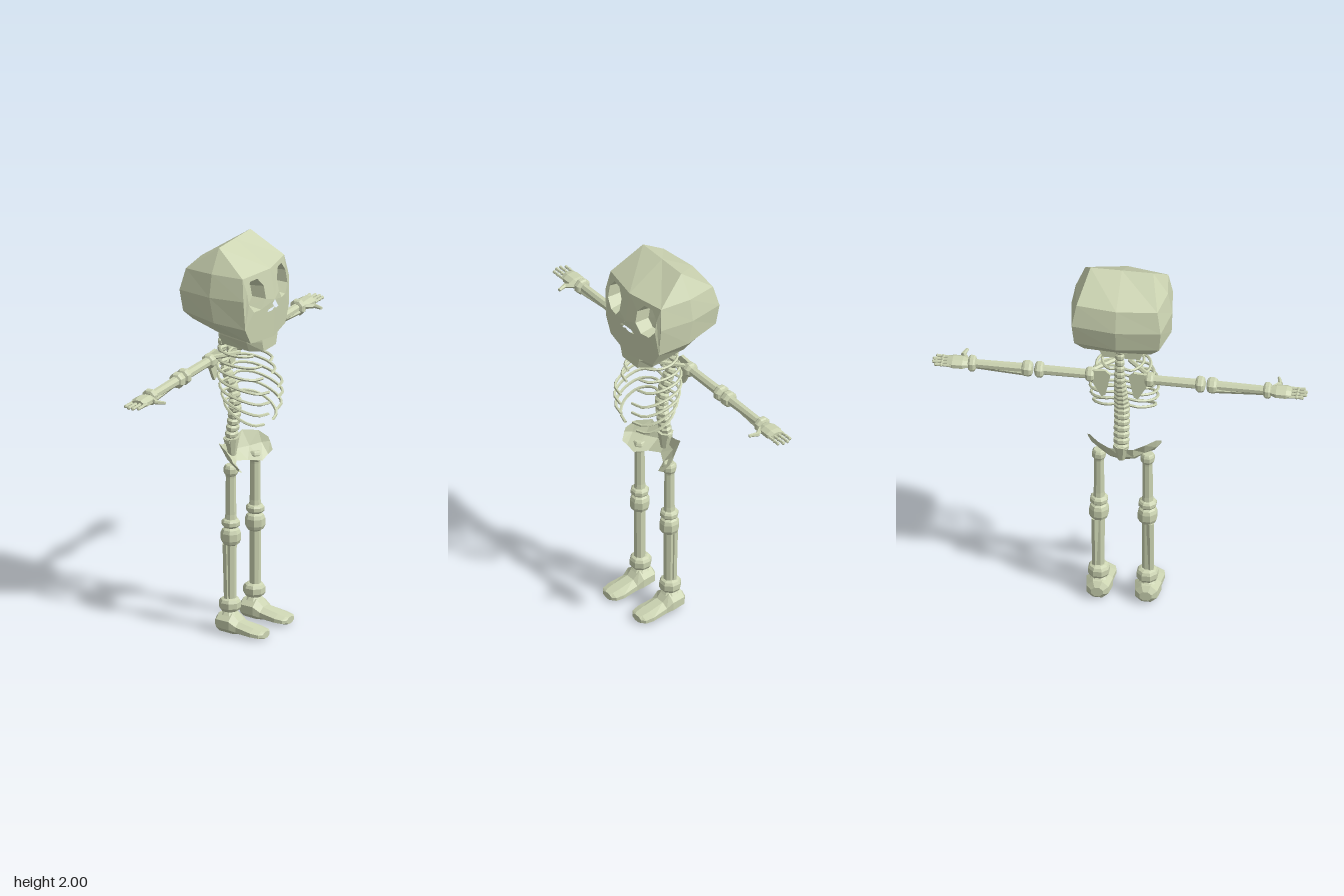
import * as THREE from 'three';

const bone = new THREE.MeshStandardMaterial({ color: 0xccd4b2, flatShading: true });
const thin = new THREE.MeshStandardMaterial({ color: 0xccd4b2, flatShading: true, side: THREE.DoubleSide });
const V = (x, y, z) => new THREE.Vector3(x, y, z);

function add(parent, name, geometry, material = bone) {
  const mesh = new THREE.Mesh(geometry, material);
  mesh.name = name;
  parent.add(mesh);
  return mesh;
}

// Skin a stack of cross-sections (arrays of Vector3)
function loft(rings, closed = true) {
  const pos = [];
  const tri = (...p) => p.forEach((v) => pos.push(v.x, v.y, v.z));
  for (let i = 0; i < rings.length - 1; i++) {
    const n = rings[i].length;
    for (let j = 0; j < (closed ? n : n - 1); j++) {
      const k = (j + 1) % n;
      const [a, b, c, d] = [rings[i][j], rings[i][k], rings[i + 1][k], rings[i + 1][j]];
      if (!c.equals(d)) tri(a, d, c);
      if (!a.equals(b)) tri(a, c, b);
    }
  }
  const g = new THREE.BufferGeometry();
  g.setAttribute('position', new THREE.Float32BufferAttribute(pos, 3));
  g.computeVertexNormals();
  return g;
}

// Turned bone: profile of [radius, distance] pairs, starting at a point along a direction
function turned(parent, name, profile, from, dir, sides = 8) {
  const g = new THREE.LatheGeometry(profile.map(([r, d]) => new THREE.Vector2(r, d)), sides, Math.PI / sides);
  const mesh = add(parent, name, g);
  mesh.position.copy(from);
  mesh.quaternion.setFromUnitVectors(V(0, 1, 0), dir.clone().normalize());
  return mesh;
}

function rod(parent, name, a, b, r0, r1 = r0, sides = 6) {
  const d = b.clone().sub(a);
  return turned(parent, name, [[0, 0], [r0, 0], [r1, d.length()], [0, d.length()]], a, d, sides);
}

const knob = (r, a, b, inner) => [[inner, a], [r * 0.85, a + (b - a) * 0.1], [r, a + (b - a) * 0.3],
  [r, b - (b - a) * 0.3], [r * 0.85, b - (b - a) * 0.1], [inner, b]];

// Faceted face plane, furthest forward at the cheeks
function faceX(y, z) {
  const mid = y > 1.73 ? 0.207 - (y - 1.73) * 0.18 : 0.207 - (1.73 - y) * 0.04;
  return mid - 0.19 * Math.abs(z);
}

function buildSkull() {
  const skull = new THREE.Group();
  skull.name = 'skull';
  const edge = [[1.54, 0.17], [1.62, 0.215], [1.77, 0.225], [1.88, 0.205]];
  // Side, back corner and back centre of each level
  const levels = [
    [[0, 1.58, 0.2], [-0.16, 1.61, 0.165], [-0.17, 1.61, 0]],
    [[0, 1.64, 0.243], [-0.19, 1.66, 0.21], [-0.22, 1.66, 0]],
    [[-0.02, 1.77, 0.25], [-0.205, 1.77, 0.22], [-0.235, 1.77, 0]],
    [[-0.02, 1.885, 0.228], [-0.18, 1.88, 0.2], [-0.205, 1.88, 0]],
  ];
  const mirror = (half) => [...half, ...half.slice(0, -1).reverse().map((p) => V(p.x, p.y, -p.z))];
  const rings = levels.map((level, i) => {
    const [y, z] = edge[i];
    return mirror([V(faceX(y, z), y, z), ...level.map((p) => V(...p))]);
  });
  const floor = rings[0].map(() => V(0, 1.575, 0));
  add(skull, 'cranium', loft([floor, ...rings], false));
  add(skull, 'palate', loft([floor.slice(0, 2), [rings[0][6], rings[0][0]]], false), thin);
  // Roof rising to a cross ridge
  const top = (z) => V(-0.02, 2, z);
  const rim = [...rings[3], V(faceX(1.88, 0), 1.88, 0)];
  add(skull, 'crown', loft([rim, [0.155, 0.155, 0.155, 0, -0.155, -0.155, -0.155, 0].map(top)]));

  for (const s of [1, -1]) {
    // Half of the face, with an eye hole and half of the nose notch
    const outline = [[0, 1.53], ...edge.map(([y, z]) => [z, y]), [0, 1.88], [0, 1.725], [0.055, 1.672], [0.02, 1.672], [0, 1.685]];
    const shape = new THREE.Shape(outline.map((p) => new THREE.Vector2(...p)));
    const ring = (k) => Array.from({ length: 8 }, (_, i) => {
      const t = ((i + 0.5) / 8) * Math.PI * 2;
      return new THREE.Vector2(0.127 + 0.068 * k * Math.cos(t), 1.777 + 0.085 * k * Math.sin(t));
    });
    shape.holes.push(new THREE.Path(ring(1)));
    const g = new THREE.ShapeGeometry(shape);
    const p = g.attributes.position;
    for (let i = 0; i < p.count; i++) {
      const z = p.getX(i), y = p.getY(i);
      p.setXYZ(i, faceX(y, z), y, z * s);
    }
    g.computeVertexNormals();
    add(skull, 'faceHalf', g, thin);
    // Recessed eye socket
    const at = (k, depth) => ring(k).map((q) => V(faceX(q.y, q.x) - depth, q.y, q.x * s));
    add(skull, 'eyeSocket', loft([at(1, 0), at(0.85, 0.07), at(0, 0.075)]), thin);
  }
  // Back of the nose opening
  add(skull, 'noseCavity', loft([[V(0.165, 1.66, 0.065), V(0.165, 1.66, -0.065)], [V(0.165, 1.735, 0.01), V(0.165, 1.735, -0.01)]], false), thin);
  // Jaw
  const jawRing = (y, k, drop) => [[0.178, 0.075], [0.12, 0.13], [-0.04, 0.115], [-0.04, -0.115], [0.12, -0.13], [0.178, -0.075]]
    .map(([x, z]) => V(x, y - drop * (x + 0.04), z * k));
  const low = jawRing(1.48, 0.8, 0.06);
  add(skull, 'jaw', loft([low.map(() => V(0.05, 1.475, 0)), low, jawRing(1.535, 1, 0.08), jawRing(1.59, 1.02, 0.2)]));
  return skull;
}

function buildTorso() {
  const torso = new THREE.Group();
  torso.name = 'torso';
  const spine = new THREE.CatmullRomCurve3([V(-0.08, 1.61, 0), V(-0.088, 1.5, 0), V(-0.088, 1.38, 0), V(-0.05, 1.27, 0),
    V(-0.018, 1.17, 0), V(-0.022, 1.08, 0), V(-0.045, 0.93, 0)]);
  const count = 20;
  for (let i = 0; i < count; i++) {
    const a = spine.getPointAt(i / count), d = spine.getTangentAt((i + 0.5) / count);
    const r = 0.02 + 0.021 * Math.min(1, i / 13), h = spine.getLength() / count;
    const v = turned(torso, 'vertebra', [[0, 0], [r * 0.7, 0], [r, h * 0.25], [r, h * 0.7], [r * 0.7, h], [0, h]], a, d, 8);
    v.scale.set(0.75, 1, 1);
  }
  // Ribs: back height, front height, front reach, half width
  const ribs = [[1.435, 1.425, 0.11, 0.1], [1.4, 1.38, 0.155, 0.13], [1.365, 1.32, 0.165, 0.145], [1.325, 1.255, 0.2, 0.158],
    [1.28, 1.2, 0.2, 0.163], [1.235, 1.14, 0.195, 0.16], [1.19, 1.08, 0.17, 0.15]];
  for (const s of [1, -1]) {
    for (const [y0, y1, reach, w] of ribs) {
      const x0 = -0.06 + Math.max(0, 1.36 - y0) * 0.25;
      const y = (t) => y0 + (y1 - y0) * t;
      const path = new THREE.CatmullRomCurve3([V(x0, y0, 0.015 * s), V(x0 - 0.01, y(0.05), w * 0.55 * s), V(x0 + 0.04, y(0.25), w * 0.95 * s),
        V((x0 + reach) / 2 + 0.02, y(0.6), w * s), V(reach - 0.02, y(0.9), w * 0.75 * s), V(reach, y(1), 0.045 * s)]);
      add(torso, 'rib', new THREE.TubeGeometry(path, 14, 0.0075, 5), thin);
    }
    rod(torso, 'collarbone', V(0.03, 1.425, 0.03 * s), V(-0.08, 1.415, 0.15 * s), 0.012);
    // Shoulder blade
    const blade = new THREE.Shape([[0.045, 1.41], [0.07, 1.29], [0.09, 1.28], [0.15, 1.39], [0.14, 1.43], [0.07, 1.435]]
      .map(([z, y]) => new THREE.Vector2(z * s, y)));
    const g = new THREE.ExtrudeGeometry(blade, { depth: 0.015, bevelEnabled: false });
    g.rotateY(-Math.PI / 2);
    add(torso, 'shoulderBlade', g).position.x = -0.08;
  }
  // Pelvis: curved sheet, columns of upper, middle and lower edge from centre outwards
  const half = [
    [[-0.055, 0.935, 0], [-0.05, 0.89, 0], [-0.01, 0.845, 0]],
    [[-0.055, 0.94, 0.06], [-0.04, 0.885, 0.06], [0.02, 0.835, 0.06]],
    [[-0.045, 0.965, 0.115], [0, 0.89, 0.11], [0.08, 0.83, 0.1]],
    [[0.02, 0.957, 0.165], [0.04, 0.9, 0.16], [0.085, 0.85, 0.145]],
    [[0.065, 0.925, 0.183], [0.075, 0.905, 0.182], [0.1, 0.87, 0.165]],
  ].map((c) => c.map((p) => V(...p)));
  const other = half.slice(1).reverse().map((c) => c.map((p) => V(p.x, p.y, -p.z)));
  add(torso, 'pelvis', loft([...other, ...half], false), thin);
  rod(torso, 'sacrum', V(-0.04, 0.96, 0), V(-0.035, 0.87, 0), 0.04, 0.02, 8);
  return torso;
}

function buildArm(s) {
  const arm = new THREE.Group();
  arm.name = s < 0 ? 'leftArm' : 'rightArm';
  const X = -0.08, Y = 1.398, out = V(0, 0, s);
  const at = (z, x = X, y = Y) => V(x, y, z * s);
  turned(arm, 'upperArm', [[0, 0], ...knob(0.038, 0, 0.045, 0.024), [0.025, 0.23], ...knob(0.042, 0.25, 0.295, 0.025), [0, 0.3]], at(0.125), out);
  turned(arm, 'elbow', [[0, 0], ...knob(0.041, 0, 0.055, 0.022), [0, 0.055]], at(0.43), out);
  rod(arm, 'forearmBone', at(0.47), at(0.72), 0.025, 0.022, 8);
  rod(arm, 'forearmBone', at(0.47, X - 0.012, Y - 0.015), at(0.72, X + 0.01, Y - 0.018), 0.018, 0.016);
  turned(arm, 'wrist', [[0, 0], ...knob(0.042, 0, 0.04, 0.024), [0, 0.04]], at(0.71), out);
  // Palm, then fingers and thumb
  const palm = turned(arm, 'palm', [[0, 0], [0.03, 0], [0.046, 0.035], [0.047, 0.085], [0.035, 0.11], [0, 0.11]], at(0.74), out);
  palm.scale.set(1, 1, 0.55);
  for (let i = 0; i < 4; i++) {
    const x = X - 0.036 + i * 0.024, tip = i === 0 || i === 3 ? 0.915 : 0.928;
    turned(arm, 'finger', [[0, 0], [0.009, 0], [0.007, 0.04], [0.01, 0.048], [0.007, 0.056], [0.009, tip - 0.835], [0, tip - 0.83]], at(0.83, x), out, 6);
  }
  rod(arm, 'thumb', at(0.755, X + 0.025), at(0.785, X + 0.07), 0.014, 0.01);
  rod(arm, 'thumbTip', at(0.785, X + 0.06), at(0.77, X + 0.11), 0.012, 0.008);
  return arm;
}

function buildLeg(s) {
  const leg = new THREE.Group();
  leg.name = s < 0 ? 'leftLeg' : 'rightLeg';
  const Z = 0.12 * s, X = 0.027, up = V(0, 1, 0);
  turned(leg, 'thigh', [[0, 0], ...knob(0.046, 0, 0.045, 0.03), [0.027, 0.07], [0.025, 0.26], ...knob(0.036, 0.27, 0.325, 0.026), [0, 0.325]], V(X, 0.545, Z), up);
  turned(leg, 'knee', [[0, 0], ...knob(0.05, 0, 0.09, 0.03), [0, 0.09]], V(X, 0.455, Z), up);
  rod(leg, 'shinBone', V(X, 0.17, Z), V(X, 0.47, Z), 0.028, 0.029, 8);
  rod(leg, 'shinBone', V(X - 0.012, 0.17, Z + 0.016 * s), V(X - 0.018, 0.46, Z + 0.016 * s), 0.018, 0.02);
  turned(leg, 'ankle', [[0, 0], [0.045, 0], ...knob(0.055, 0.015, 0.085, 0.032), [0, 0.085]], V(X - 0.005, 0.095, Z), up);
  // Foot: centre height, half height and half width along its length
  const sections = [[-0.045, 0.05, 0, 0], [-0.045, 0.05, 0.025, 0.03], [-0.025, 0.053, 0.048, 0.055], [0.05, 0.053, 0.052, 0.066],
    [0.085, 0.037, 0.032, 0.058], [0.17, 0.026, 0.024, 0.064], [0.21, 0.021, 0.02, 0.055], [0.225, 0.02, 0.017, 0.035], [0.225, 0.02, 0, 0]];
  const rings = sections.map(([x, y, h, w]) => Array.from({ length: 8 }, (_, i) => {
    const t = ((i + 0.5) / 8) * Math.PI * 2;
    return V(x, y + h * 1.08 * Math.cos(t), Z - w * 1.08 * Math.sin(t));
  }));
  add(leg, 'foot', loft(rings));
  return leg;
}

export function createModel() {
  const model = new THREE.Group();
  model.name = 'skeleton';
  model.add(buildSkull(), buildTorso());
  for (const s of [1, -1]) model.add(buildArm(s), buildLeg(s));
  return model;
}
